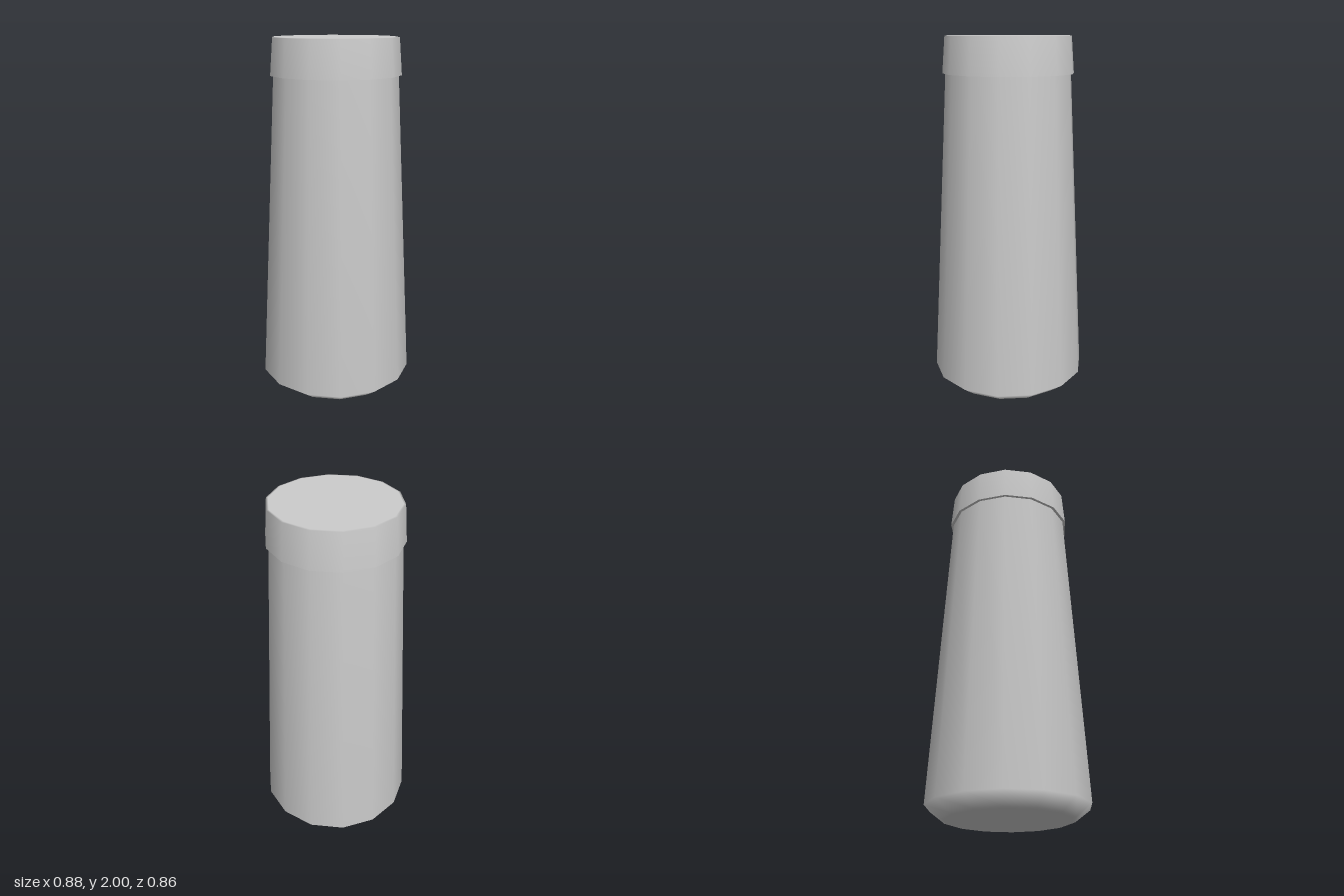
import * as THREE from 'three';

const SIDES = 14;

// Turned part from a bottom-to-top profile of [radius, height]
function turned(name, profile, material) {
  const points = profile.map(([r, y]) => new THREE.Vector2(r, y));
  const mesh = new THREE.Mesh(new THREE.LatheGeometry(points, SIDES, Math.PI / 2), material);
  mesh.name = name;
  return mesh;
}

export function createModel() {
  const group = new THREE.Group();
  group.name = 'taperedContainer';
  const material = new THREE.MeshStandardMaterial({ color: 0xcccccc });

  // Tapered body with a bevelled foot
  group.add(turned('body', [[0, 0], [0.34, 0], [0.355, 0.005], [0.44, 0.07], [0.346, 1.8]], material));

  // Underside lip where the lid overhangs the body
  group.add(turned('lidLip', [[0.34, 1.8], [0.362, 1.8]], material));

  // Lid with a narrow softened rim around its flat top
  group.add(turned('lid', [[0.362, 1.8], [0.346, 1.998], [0.335, 2], [0, 2]], material));

  // The lip faces down, so its profile runs outward
  return group;
}
